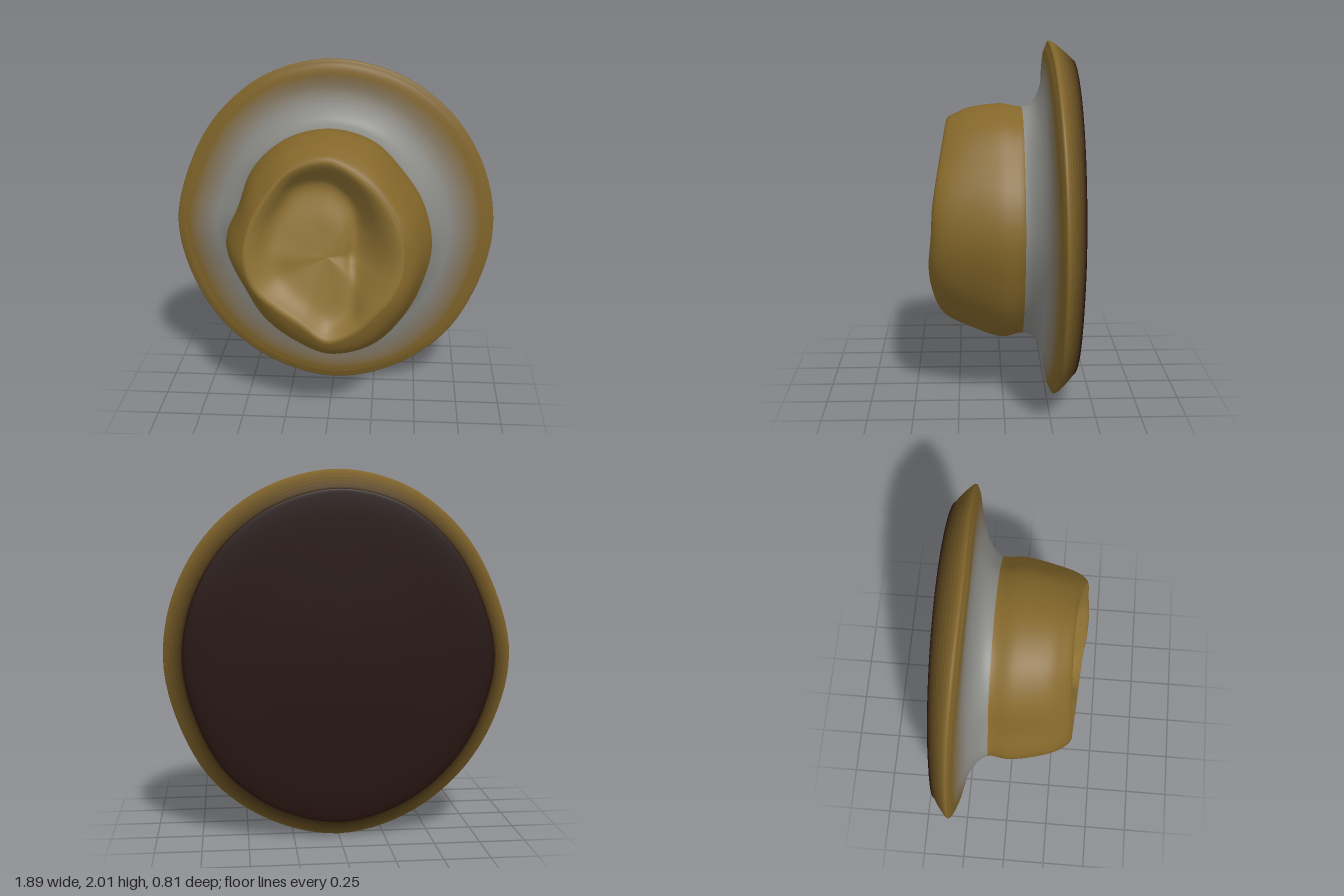
import * as THREE from 'three';

// Radii and depths are listed at 16 angles, counter-clockwise from +x
const N = 16, COLS = 96, SUB = 6;
const body = [.575, .57, .575, .63, .655, .65, .615, .565, .6, .545, .585, .62, .65, .665, .61, .575];
const crest = [.415, .44, .465, .51, .57, .55, .49, .465, .455, .435, .395, .395, .46, .42, .385, .395];
const crestZ = [.39, .38, .355, .33, .31, .31, .32, .33, .345, .35, .36, .37, .38, .39, .405, .405];
const dent = [.16, .18, .23, .32, .39, .40, .35, .32, .31, .29, .26, .26, .33, .31, .22, .17];
const dentZ = [.20, .19, .18, .17, .165, .175, .21, .24, .27, .28, .30, .31, .31, .30, .27, .23];
const brim = [.94, .947, .965, .985, 1, .985, .95, .925, .94, .935, .95, .975, 1, .985, .965, .935];
const brimZ = [-.285, -.28, -.27, -.26, -.25, -.26, -.275, -.285, -.29, -.29, -.28, -.275, -.27, -.27, -.28, -.285];

const mix = (a, b, t) => a + (b - a) * t;

// Stations from the middle of the dented crown, out over the brim, to the middle of the back
const stations = [
  () => [0, .245],
  k => [dent[k] * .5, mix(dentZ[k], .245, .55)],
  k => [dent[k], dentZ[k]],
  k => [mix(dent[k], crest[k], .64), mix(dentZ[k], crestZ[k], .8)],
  k => [crest[k], crestZ[k]],
  k => [mix(crest[k], body[k], .45), crestZ[k] - .06],
  k => [mix(crest[k], body[k], .78), .17],
  k => [body[k], .01],
  k => [mix(body[k], .6, .15) - .01, -.11],
  k => [mix(body[k], .62, .5) + .04, -.185],
  k => [mix(body[k], brim[k], .45), -.232],
  k => [mix(body[k], brim[k], .78), brimZ[k] + .02],
  k => [brim[k] - .025, brimZ[k] + .006],
  k => [brim[k], brimZ[k] - .02],
  k => [brim[k] - .09, -.38],
  k => [brim[k] - .15, -.4],
  k => [brim[k] * .5, -.398],
  () => [0, -.398],
];

// Smooth each station into a closed ring
function ring(station) {
  const pts = [];
  for (let k = 0; k < N; k++) {
    const a = (k / N) * Math.PI * 2, [r, z] = station(k);
    pts.push(new THREE.Vector3(r * Math.cos(a), 1 + r * Math.sin(a), z));
  }
  const curve = new THREE.CatmullRomCurve3(pts, true, 'catmullrom', 0.5);
  return Array.from({ length: COLS }, (_, j) => curve.getPoint(j / COLS));
}

// Smooth across the stations, column by column
function hatSurface() {
  const rings = stations.map(ring);
  const rows = (stations.length - 1) * SUB;
  const pos = new Float32Array((rows + 1) * COLS * 3);
  for (let j = 0; j < COLS; j++) {
    const curve = new THREE.CatmullRomCurve3(rings.map(r => r[j]), false, 'catmullrom', 0.5);
    for (let i = 0; i <= rows; i++) curve.getPoint(i / rows).toArray(pos, (i * COLS + j) * 3);
  }
  const geo = new THREE.BufferGeometry();
  geo.setAttribute('position', new THREE.BufferAttribute(pos, 3));
  geo.setIndex(rowFaces(rows));
  geo.computeVertexNormals();
  return geo;
}

function rowFaces(rows) {
  const idx = [];
  for (let i = 0; i < rows; i++) {
    for (let j = 0; j < COLS; j++) {
      const n = (j + 1) % COLS;
      const a = i * COLS + j, b = a + COLS, c = (i + 1) * COLS + n, d = i * COLS + n;
      idx.push(a, b, c, a, c, d);
    }
  }
  return idx;
}

export function createModel() {
  const group = new THREE.Group();
  group.name = 'hat';
  const whole = hatSurface();

  // Each part is a span of rows; shared normals keep the joins smooth
  const addPart = (name, from, to, color, parent = group) => {
    const geo = new THREE.BufferGeometry();
    const first = from * COLS, count = (to - from + 1) * COLS;
    for (const key of ['position', 'normal']) {
      const slice = whole.attributes[key].array.slice(first * 3, (first + count) * 3);
      geo.setAttribute(key, new THREE.BufferAttribute(slice, 3));
    }
    geo.setIndex(rowFaces(to - from));
    const mesh = new THREE.Mesh(geo, new THREE.MeshStandardMaterial({ color }));
    mesh.name = name;
    parent.add(mesh);
  };

  // A part that fades from one colour to another, one row at a time
  const addFade = (name, from, to, colorA, colorB) => {
    const part = new THREE.Group();
    part.name = name;
    group.add(part);
    const a = new THREE.Color(colorA), b = new THREE.Color(colorB);
    for (let i = from; i < to; i++) {
      addPart(name + 'Ring', i, i + 1, a.clone().lerp(b, (i - from + 0.5) / (to - from)), part);
    }
  };

  addPart('crownDent', 0, 4 * SUB, 0x8f7234);
  addPart('crownSide', 4 * SUB, 8 * SUB, 0x84672a);
  addPart('hatBand', 8 * SUB, 9 * SUB + 3, 0x8a8a86);
  addFade('brimInner', 9 * SUB + 3, 11 * SUB, 0x8a8a86, 0x80662e);
  addPart('brimOuter', 11 * SUB, 13 * SUB, 0x80642a);
  addFade('brimEdge', 13 * SUB, 14 * SUB + 2, 0x80642a, 0x22100c);
  addPart('brimUnderside', 14 * SUB + 2, 17 * SUB, 0x22100c);
  return group;
}
